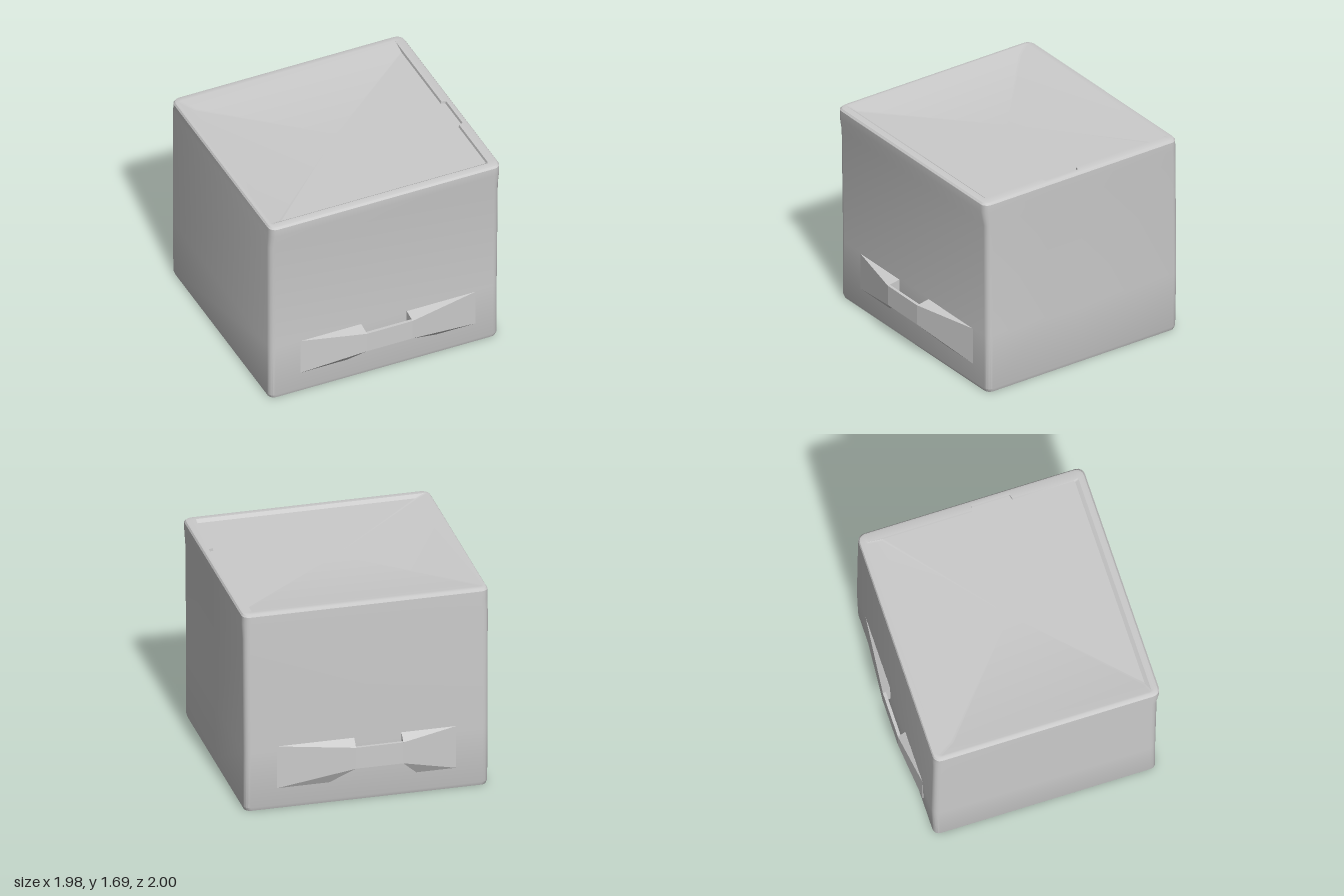
import * as THREE from 'three';
import { toCreasedNormals } from 'three/addons/utils/BufferGeometryUtils.js';
import { ConvexGeometry } from 'three/addons/geometries/ConvexGeometry.js';

const material = new THREE.MeshStandardMaterial({ color: 0xcccccc });

function addMesh(parent, name, geometry) {
  const mesh = new THREE.Mesh(geometry, material);
  mesh.name = name;
  parent.add(mesh);
}

// Rounded rectangle, counter-clockwise from above; notch pushes out a stretch of the +x side
function ring([y, x0, x1, z0, z1, r, notch = 0]) {
  const pts = [[0.32, 0], [0.31, notch], [0, notch], [-0.01, 0]].map(([z, d]) => [x1 + d, y, z]);
  const centres = [[x1 - r, z0 + r], [x0 + r, z0 + r], [x0 + r, z1 - r], [x1 - r, z1 - r]];
  centres.forEach(([cx, cz], corner) => {
    for (let i = 0; i <= 4; i++) {
      const a = (corner + i / 4) * Math.PI / 2;
      pts.push([cx + r * Math.cos(a), y, cz - r * Math.sin(a)]);
    }
  });
  return pts;
}

// Skin a stack of rings and close both ends with fans
function loft(sections) {
  const rings = sections.map(ring);
  const n = rings[0].length;
  const pos = [];
  const tri = (...corners) => corners.forEach((p) => pos.push(...p));
  const first = rings[0], last = rings[rings.length - 1];
  for (let i = 0; i < n; i++) {
    const j = (i + 1) % n;
    tri([0, first[0][1], 0], first[j], first[i]);
    for (let k = 0; k < rings.length - 1; k++) {
      const a = rings[k], b = rings[k + 1];
      tri(a[i], a[j], b[j]);
      tri(a[i], b[j], b[i]);
    }
    tri([0, last[0][1], 0], last[i], last[j]);
  }
  const geometry = new THREE.BufferGeometry();
  geometry.setAttribute('position', new THREE.Float32BufferAttribute(pos, 3));
  return toCreasedNormals(geometry, Math.PI / 7);
}

const hull = (points) => new ConvexGeometry(points.map((p) => new THREE.Vector3(...p)));

// Handle: two wedge-shaped flares on the wall joined by a thin strap with a gap behind it
function makeHandle(name, side, wall, out, flares, yLow, yHigh) {
  const handle = new THREE.Group();
  handle.name = name;
  const base = side * (wall - 0.03), skin = side * wall, outer = side * out;
  for (const { far, cut, near, top } of flares) {
    addMesh(handle, 'handleFlare', hull([
      [far, 0.18, base], [far, top, base], [far, 0.18, skin], [far, top, skin],
      [cut, 0.18, base], [cut, 0.18, skin], [near, yLow, base], [near, top, base],
      [near, top, skin], [near, yLow, outer], [near, yHigh, outer],
    ]));
  }
  const [a, b] = flares.map((f) => f.near);
  const strap = new THREE.BoxGeometry(Math.abs(b - a), yHigh - yLow, 0.025);
  strap.translate((a + b) / 2, (yLow + yHigh) / 2, side * (out - 0.0125));
  addMesh(handle, 'handleStrap', strap);
  return handle;
}

export function createModel() {
  const model = new THREE.Group();
  model.name = 'hollowBox';

  // Open-bottomed shell: y, left, right, back, front, corner radius, notch
  addMesh(model, 'shell', loft([
    // inside, ceiling to floor
    [1.62, -0.93, 0.93, -0.88, 0.85, 0.04],
    [0.0, -0.93, 0.93, -0.88, 0.84, 0.04],
    // outside, floor to flared front lip
    [0.0, -0.975, 0.97, -0.92, 0.88, 0.05],
    [0.03, -0.985, 0.98, -0.93, 0.89, 0.05],
    [0.5, -0.985, 0.98, -0.94, 0.89, 0.05],
    [1.48, -0.99, 0.985, -0.93, 0.90, 0.05],
    [1.6, -0.99, 0.99, -0.93, 0.923, 0.06],
    [1.67, -0.99, 0.99, -0.928, 0.923, 0.06],
    [1.685, -0.98, 0.98, -0.92, 0.91, 0.06],
    [1.69, -0.965, 0.965, -0.905, 0.89, 0.05],
    // rim and sunken top panel
    [1.69, -0.95, 0.905, -0.87, 0.86, 0.015, 0.035],
    [1.668, -0.87, 0.9, -0.75, 0.83, 0.015, 0.035],
  ]));

  model.add(makeHandle('frontHandle', 1, 0.89, 1.0, [
    { far: -0.72, cut: -0.32, near: -0.2, top: 0.49 },
    { far: 0.78, cut: 0.44, near: 0.19, top: 0.49 },
  ], 0.3, 0.47));
  model.add(makeHandle('backHandle', -1, 0.94, 1.0, [
    { far: 0.72, cut: 0.3, near: 0.1, top: 0.54 },
    { far: -0.72, cut: -0.4, near: -0.28, top: 0.54 },
  ], 0.3, 0.48));
  return model;
}
